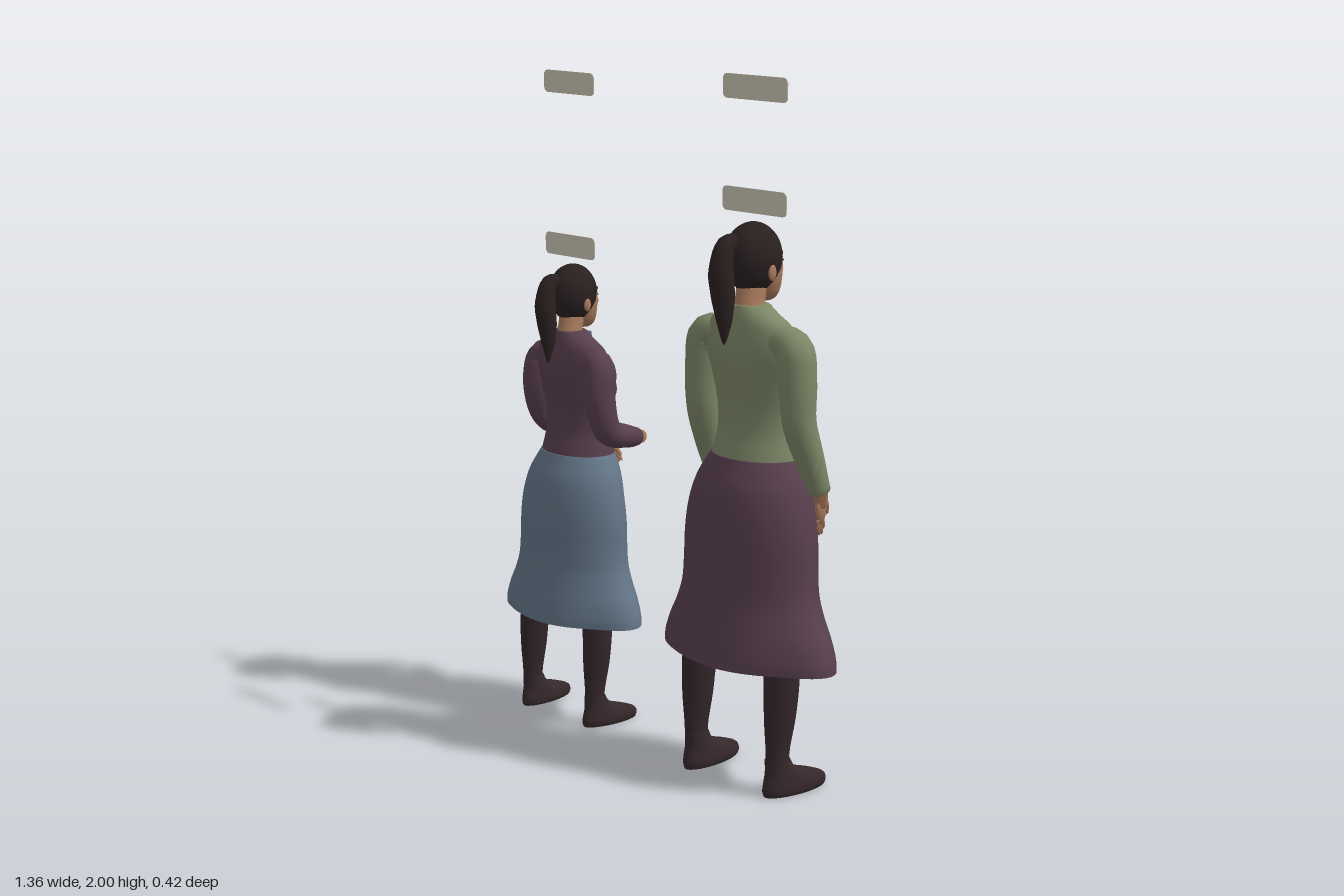
import * as THREE from 'three';
import { toCreasedNormals } from 'three/addons/utils/BufferGeometryUtils.js';

const V = (p) => new THREE.Vector3(...p);
const paint = (name, color) => {
  const m = new THREE.MeshStandardMaterial({ color });
  m.name = name;
  return m;
};

function add(parent, name, geometry, material, pos = [0, 0, 0], scale = [1, 1, 1]) {
  const m = new THREE.Mesh(geometry, material);
  m.name = name;
  m.position.set(...pos);
  m.scale.set(...scale);
  parent.add(m);
  return m;
}

// Smooth closed body through elliptical rings [y, cx, cz, rx, rz], bottom to top
function loft(rings, { steps = 28, sides = 40, shape = () => 1 } = {}) {
  const mid = new THREE.CatmullRomCurve3(rings.map((r) => V([r[1], r[0], r[2]])), false, 'catmullrom');
  const rad = new THREE.CatmullRomCurve3(rings.map((r) => V([r[3], r[4], 0])), false, 'catmullrom');
  const pos = [], idx = [];
  for (let i = 0; i <= steps; i++) {
    const t = i / steps, c = mid.getPoint(t), r = rad.getPoint(t);
    for (let j = 0; j < sides; j++) {
      const a = (j / sides) * Math.PI * 2, k = shape(a, t);
      pos.push(c.x + r.x * k * Math.sin(a), c.y, c.z + r.y * k * Math.cos(a));
    }
  }
  const low = pos.length / 3, b = mid.getPoint(0), e = mid.getPoint(1), top = steps * sides;
  pos.push(b.x, b.y, b.z, e.x, e.y, e.z);
  for (let j = 0; j < sides; j++) {
    const n = (j + 1) % sides;
    for (let i = 0; i < steps; i++) {
      const p = i * sides, q = p + sides;
      idx.push(p + j, p + n, q + n, p + j, q + n, q + j);
    }
    idx.push(low, n, j, low + 1, top + j, top + n);
  }
  const g = new THREE.BufferGeometry();
  g.setAttribute('position', new THREE.Float32BufferAttribute(pos, 3));
  g.setIndex(idx);
  return toCreasedNormals(g, 0.9);
}

// Closed tube with changing radius
function taper(points, radii, seg = 24, sides = 16) {
  const curve = new THREE.CatmullRomCurve3(points.map(V));
  const g = new THREE.TubeGeometry(curve, seg, 1, sides);
  const p = g.attributes.position, v = new THREE.Vector3();
  for (let i = 0; i <= seg; i++) {
    const c = curve.getPointAt(i / seg), f = (i / seg) * (radii.length - 1);
    const k = Math.min(Math.floor(f), radii.length - 2);
    const r = i === 0 || i === seg ? 0.0005 : THREE.MathUtils.lerp(radii[k], radii[k + 1], f - k);
    for (let j = 0; j <= sides; j++) {
      const n = i * (sides + 1) + j;
      v.fromBufferAttribute(p, n).sub(c).multiplyScalar(r).add(c);
      p.setXYZ(n, v.x, v.y, v.z);
    }
  }
  return toCreasedNormals(g, 1.1);
}

const ball = new THREE.SphereGeometry(1, 28, 20);

// Hand reaching along `to - from`, thumb towards `thumbSide`
function hand(parent, mat, from, to, thumbSide) {
  const h = new THREE.Group();
  h.name = 'hand';
  const Y = V(from).sub(V(to)).normalize();
  const X = new THREE.Vector3().crossVectors(Y, V(thumbSide)).normalize();
  const Z = new THREE.Vector3().crossVectors(X, Y);
  h.quaternion.setFromRotationMatrix(new THREE.Matrix4().makeBasis(X, Y, Z));
  h.position.set(...from);
  add(h, 'wrist', taper([[0, 0.04, 0], [0, 0, 0], [0, -0.04, 0]], [0.024, 0.021, 0.02], 8, 12), mat);
  add(h, 'palm', ball, mat, [0, -0.045, 0], [0.014, 0.046, 0.03]);
  for (let i = 0; i < 4; i++) {
    const z = (i - 1.5) * 0.014, len = [0.11, 0.13, 0.137, 0.127][i];
    add(h, 'finger', taper([[0, -0.06, z], [0.006, -0.095, z * 1.15], [0, -len, z * 1.1]], [0.009, 0.009, 0.006], 8, 8), mat);
  }
  add(h, 'thumb', taper([[0, -0.02, 0.016], [0, -0.055, 0.037], [0, -0.09, 0.04]], [0.012, 0.011, 0.007], 8, 8), mat);
  parent.add(h);
}

function head(parent, m) {
  const h = new THREE.Group();
  h.name = 'head';
  h.position.x = -0.023;
  parent.add(h);
  add(h, 'neck', taper([[0.012, 1.31, 0.035], [0.008, 1.38, 0.025], [0, 1.46, 0]], [0.05, 0.042, 0.043]), m.skin);
  add(h, 'face', loft([
    [1.375, 0, -0.047, 0.012, 0.016], [1.385, 0, -0.045, 0.028, 0.032], [1.405, 0, -0.038, 0.043, 0.047],
    [1.435, 0, -0.029, 0.055, 0.058], [1.47, 0, -0.022, 0.062, 0.066], [1.51, 0, -0.015, 0.064, 0.07],
    [1.545, 0, -0.01, 0.058, 0.06], [1.58, 0, 0, 0.035, 0.035]]), m.skin);
  add(h, 'nose', taper([[0, 1.497, -0.08], [0, 1.475, -0.092], [0, 1.457, -0.096], [0, 1.45, -0.082]], [0.007, 0.009, 0.013, 0.01], 12, 10), m.skin);
  add(h, 'lips', ball, m.lips, [0, 1.428, -0.084], [0.019, 0.007, 0.006]);
  for (const s of [-1, 1]) {
    add(h, 'ear', ball, m.skin, [s * 0.074, 1.465, 0.005], [0.008, 0.023, 0.014]);
    add(h, 'eye', ball, m.hair, [s * 0.027, 1.489, -0.077], [0.012, 0.0045, 0.004]);
    add(h, 'eyebrow', taper([[s * 0.012, 1.506, -0.084], [s * 0.028, 1.511, -0.079], [s * 0.043, 1.506, -0.067]], [0.003, 0.004, 0.002], 8, 6), m.hair);
  }
  add(h, 'hair', ball, m.hair, [0, 1.5, 0.006], [0.077, 0.1, 0.088]);
  add(h, 'ponytail', taper(
    [[0, 1.55, 0.07], [0, 1.545, 0.11], [0, 1.48, 0.13], [0.004, 1.4, 0.126], [0.008, 1.33, 0.125], [0.012, 1.27, 0.13]],
    [0.022, 0.03, 0.036, 0.033, 0.022, 0.004]), m.hair);
}

function figure(name, m, top, skirt, collar, collarWidth, arms) {
  const g = new THREE.Group();
  g.name = name;
  // Bell skirt with a wavy hem
  add(g, 'skirt', loft([
    [0.37, 0, 0.033, 0.31, 0.177], [0.4, 0, 0.032, 0.306, 0.174], [0.45, 0, 0.031, 0.286, 0.167],
    [0.5, 0, 0.031, 0.258, 0.158], [0.56, 0, 0.031, 0.234, 0.149], [0.63, 0, 0.031, 0.226, 0.143],
    [0.72, 0, 0.03, 0.225, 0.138], [0.8, 0, 0.028, 0.214, 0.131], [0.87, 0, 0.02, 0.193, 0.124],
    [0.92, -0.002, 0.009, 0.165, 0.114], [0.947, -0.004, 0.005, 0.146, 0.107]],
  { steps: 44, sides: 64, shape: (a, t) => 1 + Math.max(0, 1 - t * 2) * (0.035 * (Math.cos(4 * a) - 1) + 0.015 * Math.sin(5 * a)) }), skirt);
  // Legs and shoes
  for (const s of [-1, 1]) {
    add(g, 'leg', loft([
      [0.06, s * 0.162, 0.085, 0.028, 0.036], [0.13, s * 0.163, 0.083, 0.03, 0.038], [0.22, s * 0.164, 0.077, 0.042, 0.047],
      [0.31, s * 0.164, 0.072, 0.05, 0.05], [0.4, s * 0.16, 0.065, 0.052, 0.052]], { steps: 14, sides: 20 }), m.stocking);
    const shoe = add(g, 'shoe', loft([
      [0, 0, -0.062, 0.04, 0.11], [0.015, 0, -0.062, 0.046, 0.114], [0.035, 0, -0.057, 0.044, 0.107],
      [0.055, 0, -0.035, 0.039, 0.08], [0.075, 0, -0.008, 0.034, 0.049], [0.105, 0, 0.003, 0.031, 0.039]],
    { steps: 16, sides: 24 }), m.shoe, [s * 0.162, 0, 0.08]);
    shoe.rotation.y = -s * 0.08;
  }
  // Upper body
  const body = new THREE.Group();
  body.name = 'upperBody';
  body.position.x = -0.008;
  g.add(body);
  add(body, 'sweater', loft([
    [0.925, 0, -0.002, 0.147, 0.113], [0.96, 0, -0.001, 0.14, 0.105], [1.02, 0, -0.004, 0.13, 0.093],
    [1.09, 0, -0.004, 0.132, 0.092], [1.17, 0, -0.001, 0.15, 0.098], [1.25, 0, 0.014, 0.166, 0.09],
    [1.315, 0, 0.025, 0.15, 0.07], [1.35, 0, 0.03, 0.1, 0.058], [1.375, 0, 0.03, 0.058, 0.05]]), top);
  for (const s of [-1, 1]) add(body, 'bust', ball, top, [s * 0.06, 1.165, -0.062], [0.052, 0.055, 0.046]);
  const v = new THREE.Shape([[0, 0], [collarWidth, 0.135], [-collarWidth, 0.135]].map((p) => new THREE.Vector2(...p)));
  const neckline = add(body, 'neckline', new THREE.ExtrudeGeometry(v, { depth: 0.009, bevelEnabled: false }), collar, [0, 1.245, -0.085]);
  neckline.rotation.x = 0.43;
  for (const a of arms) {
    add(body, 'sleeve', taper(a.path, [0.045, 0.056, 0.054, 0.049, 0.045, 0.039, 0.032], 32, 20), top);
    hand(body, m.skin, a.path[a.path.length - 1], a.tip, a.thumb);
  }
  head(g, m);
  return g;
}

// Blank rounded plate floating above a head
function plate(parent, mat, x, y, w, h) {
  const s = new THREE.Shape(), r = 0.016, a = w / 2 - r, b = h / 2 - r;
  [[a, b], [-a, b], [-a, -b], [a, -b]].forEach(([cx, cy], i) => s.absarc(cx, cy, r, i * Math.PI / 2, (i + 1) * Math.PI / 2));
  add(parent, 'floatingPlate', new THREE.ExtrudeGeometry(s, { depth: 0.003, bevelEnabled: false, curveSegments: 6 }), mat, [x, y, -0.0015]);
}

export function createModel() {
  const m = {
    skin: paint('skin', 0xa87a5c), hair: paint('dark hair', 0x2a2020), lips: paint('lips', 0x85503f),
    sage: paint('sage wool', 0x7d8767), plum: paint('plum cloth', 0x583f4e), blue: paint('slate blue cloth', 0x627486),
    stocking: paint('dark stocking', 0x33262a), shoe: paint('dark leather', 0x35272a), plate: paint('stone plate', 0xc9c4b4),
  };
  const model = new THREE.Group();
  model.name = 'twoWomen';

  // Tall woman, arms hanging
  const hanging = [-1, 1].map((s) => ({
    path: [[s * 0.1, 1.285, 0.03], [s * 0.165, 1.27, 0.03], [s * 0.182, 1.18, 0.03], [s * 0.188, 1.07, 0.028],
      [s * 0.198, 0.96, -0.005], [s * 0.203, 0.85, -0.045]],
    tip: [s * 0.17, 0.72, -0.083], thumb: [-s * 0.4, 0, -1],
  }));
  const tall = figure('tallWoman', m, m.sage, m.plum, m.skin, 0.026, hanging);
  tall.position.set(0.37, 0, 0);
  model.add(tall);

  // Short woman, hands crossed in front
  const crossed = [
    { path: [[0.09, 1.285, 0.03], [0.142, 1.265, 0.03], [0.155, 1.16, 0.04], [0.158, 1.04, 0.005], [0.135, 1.0, -0.1], [0.085, 0.975, -0.195]],
      tip: [-0.06, 0.945, -0.2], thumb: [0, 1, 0.3] },
    { path: [[-0.09, 1.285, 0.03], [-0.142, 1.265, 0.03], [-0.158, 1.16, 0.04], [-0.162, 1.04, 0], [-0.135, 0.99, -0.09], [-0.07, 0.96, -0.15]],
      tip: [0.04, 0.88, -0.168], thumb: [0, 1, 0.3] },
  ];
  const short = figure('shortWoman', m, m.plum, m.blue, m.blue, 0.04, crossed);
  short.position.set(-0.405, 0, -0.018);
  short.scale.set(0.88, 0.87, 0.88);
  model.add(short);

  for (const y of [1.655, 1.966]) plate(model, m.plate, 0.345, y, 0.246, 0.068);
  for (const y of [1.448, 1.932]) plate(model, m.plate, -0.42, y, 0.218, 0.066);
  return model;
}
